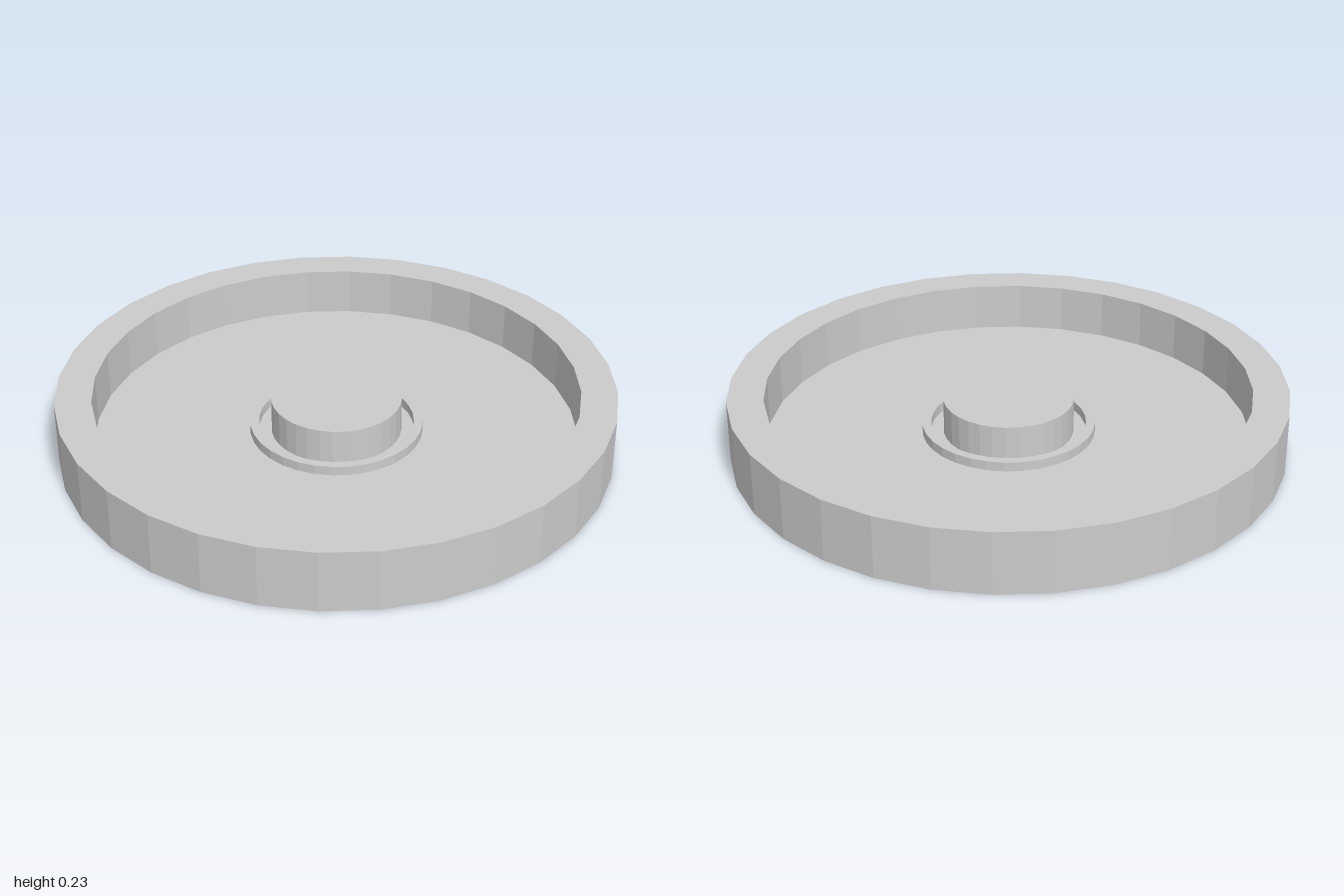
import * as THREE from 'three';

const SIDES = 32;
const FLOOR = 0.05;

// Revolves a [radius, height] profile, listed upward along its outer side.
function turned(name, profile, material) {
  const points = profile.map(([r, y]) => new THREE.Vector2(r, y));
  const mesh = new THREE.Mesh(new THREE.LatheGeometry(points, SIDES), material);
  mesh.name = name;
  return mesh;
}

export function createModel() {
  const group = new THREE.Group();
  group.name = 'roundTray';
  const material = new THREE.MeshStandardMaterial({ color: 0xcccccc, flatShading: true });

  // Closed base with a thick raised rim
  group.add(turned('dish', [
    [0, 0], [1, 0], [1, 0.23], [0.87, 0.23], [0.87, FLOOR], [0, FLOOR],
  ], material));

  // Low collar around the centre
  group.add(turned('collar', [
    [0.312, FLOOR], [0.312, 0.085], [0.28, 0.085], [0.28, FLOOR],
  ], material));

  // Central raised disc
  group.add(turned('hub', [
    [0.235, FLOOR], [0.235, 0.18], [0, 0.18],
  ], material));

  return group;
}
